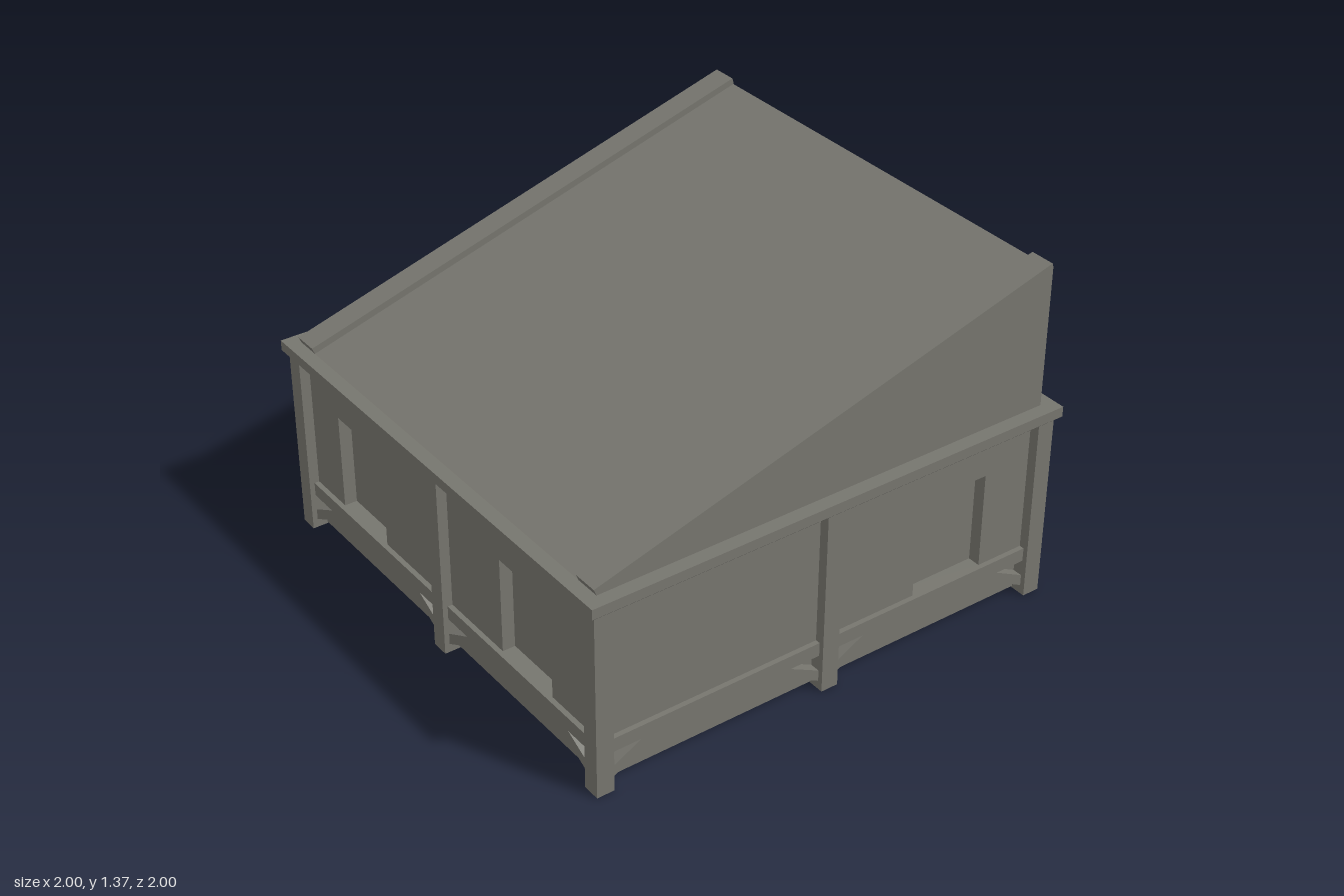
import * as THREE from 'three';

const stone = new THREE.MeshStandardMaterial({ color: 0x76756e });
stone.name = 'weathered grey';

function add(parent, name, geometry, x = 0, y = 0, z = 0) {
  const mesh = new THREE.Mesh(geometry, stone);
  mesh.name = name;
  mesh.position.set(x, y, z);
  parent.add(mesh);
  return mesh;
}

// Box given by its lower and upper corners
function block(parent, name, [x0, y0, z0], [x1, y1, z1]) {
  return add(parent, name, new THREE.BoxGeometry(x1 - x0, y1 - y0, z1 - z0),
    (x0 + x1) / 2, (y0 + y1) / 2, (z0 + z1) / 2);
}

const outline = (points) => new THREE.Shape(points.map(([x, y]) => new THREE.Vector2(x, y)));
const extrude = (shape, depth) => new THREE.ExtrudeGeometry(shape, { depth, bevelEnabled: false });

// Square frustum, given by half widths at bottom and top
function taper(parent, name, bottom, top, y0, y1) {
  const s = Math.SQRT2;
  const g = new THREE.CylinderGeometry(top * s, bottom * s, y1 - y0, 4).rotateY(Math.PI / 4).toNonIndexed();
  g.computeVertexNormals();
  return add(parent, name, g, 0, (y0 + y1) / 2, 0);
}

// Side profile (z, y) extruded across x from x0 to x1
function profileAcross(parent, name, points, x0, x1) {
  const g = extrude(outline(points), x1 - x0).rotateY(-Math.PI / 2);
  return add(parent, name, g, x1, 0, 0);
}

// One wall facing +z, with optional recessed windows [left, right]
function wallSide(name, windows) {
  const side = new THREE.Group();
  side.name = name;
  const panel = outline([[-0.93, 0.145], [0.93, 0.145], [0.93, 0.745], [-0.93, 0.745]]);
  for (const [l, r] of windows) {
    panel.holes.push(outline([[l, 0.2], [l, 0.585], [r, 0.585], [r, 0.2]]));
  }
  add(side, 'wallPanel', extrude(panel, 0.05), 0, 0, 0.89);
  block(side, 'middlePost', [-0.035, 0, 0.91], [0.035, 0.745, 0.98]);
  block(side, 'lowerRail', [-0.92, 0.145, 0.9], [0.92, 0.2, 0.96]);

  // Diagonal braces from each post up to the rail
  for (const [start, dir] of [[-0.91, 1], [-0.035, -1], [0.035, 1], [0.91, -1]]) {
    const corners = [[0, 0.035], [0.205, 0.145], [0.125, 0.145], [0, 0.08]]
      .map(([x, y]) => [start + dir * x, y]);
    add(side, 'brace', extrude(outline(corners), 0.05), 0, 0, 0.91);
  }
  return side;
}

export function createModel() {
  const model = new THREE.Group();
  model.name = 'raisedBuilding';

  // Solid base and inner core behind the panels
  block(model, 'base', [-0.92, 0.008, -0.92], [0.92, 0.15, 0.92]);
  block(model, 'core', [-0.89, 0.15, -0.89], [0.89, 0.75, 0.89]);

  // Walls: front has two windows, the left side has one
  const sides = [
    ['frontWall', 0, [[-0.715, -0.41], [0.36, 0.665]]],
    ['leftWall', Math.PI / 2, [[0.4, 0.71]]],
    ['backWall', Math.PI, []],
    ['rightWall', -Math.PI / 2, []],
  ];
  for (const [name, angle, windows] of sides) {
    const side = wallSide(name, windows);
    side.rotation.y = angle;
    model.add(side);
  }

  // Corner posts
  for (const x of [-0.945, 0.945]) {
    for (const z of [-0.945, 0.945]) {
      add(model, 'cornerPost', new THREE.BoxGeometry(0.07, 0.745, 0.07), x, 0.3725, z);
    }
  }

  // Cornice and roof slab with a chamfered lower edge
  taper(model, 'cornice', 0.938, 0.962, 0.73, 0.745);
  taper(model, 'slabChamfer', 0.99, 1, 0.745, 0.755);
  block(model, 'roofSlab', [-1, 0.755, -1], [1, 0.795, 1]);

  // Sloping roof between two raised side borders
  profileAcross(model, 'slopingRoof',
    [[0.945, 0.795], [-0.943, 1.34], [-0.943, 0.795]], -0.845, 0.845);
  const border = [[0.945, 0.795], [0.955, 0.82], [-0.938, 1.365], [-0.943, 1.35], [-0.943, 0.795]];
  profileAcross(model, 'roofBorderLeft', border, 0.845, 0.945);
  profileAcross(model, 'roofBorderRight', border, -0.945, -0.845);

  return model;
}
